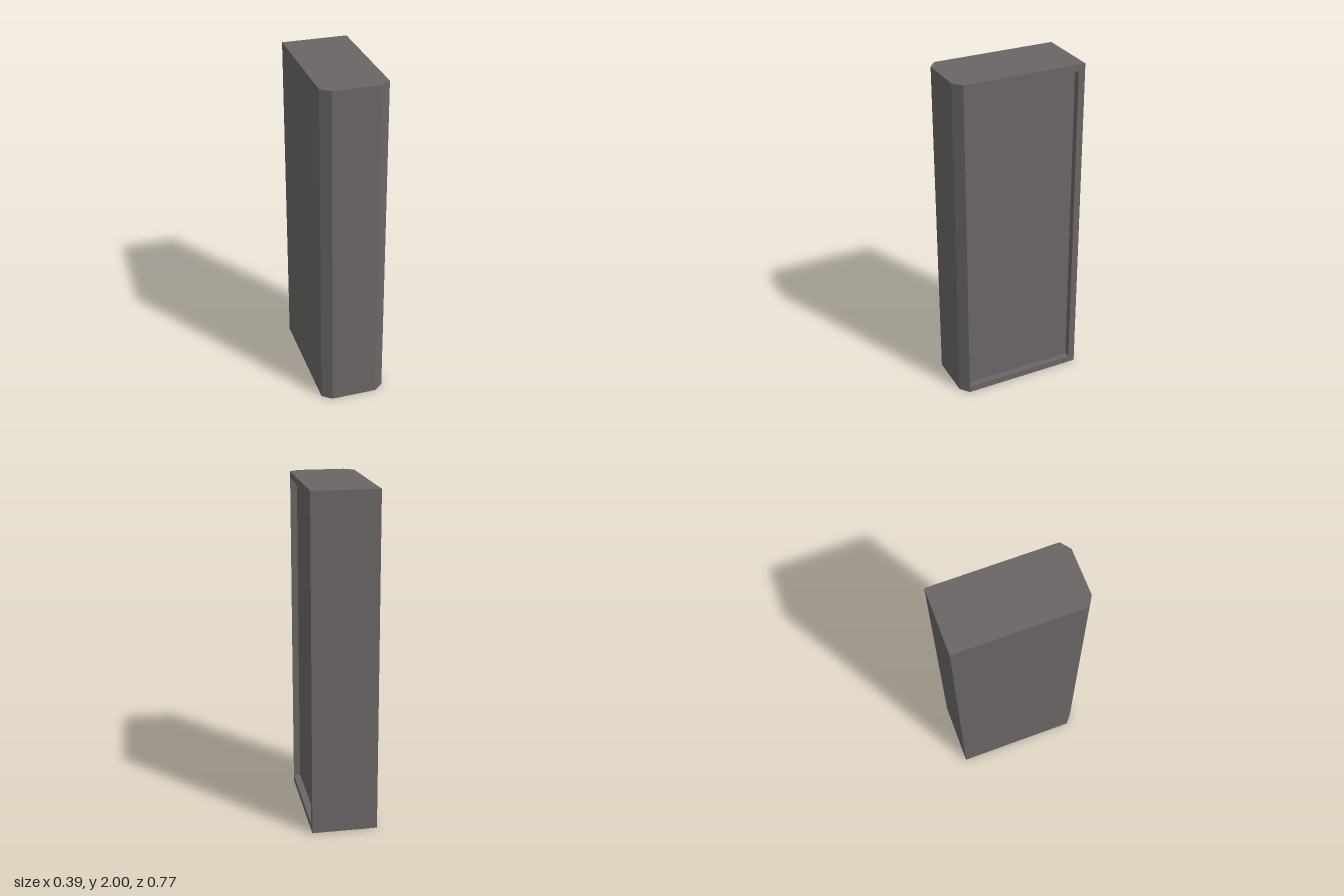
import * as THREE from 'three';

// Flat-faced geometry from convex polygons (corners counter-clockwise from outside)
function facesToGeometry(faces) {
  const pos = [];
  for (const f of faces)
    for (let i = 1; i < f.length - 1; i++) pos.push(...f[0], ...f[i], ...f[i + 1]);
  const g = new THREE.BufferGeometry();
  g.setAttribute('position', new THREE.Float32BufferAttribute(pos, 3));
  g.computeVertexNormals();
  return g;
}

export function createModel() {
  const group = new THREE.Group();
  group.name = 'cabinet';
  const material = new THREE.MeshStandardMaterial({ color: 0x6b6666, flatShading: true });
  const add = (name, faces) => {
    const mesh = new THREE.Mesh(facesToGeometry(faces), material);
    mesh.name = name;
    group.add(mesh);
  };

  const H = 2, W = 0.193, D = 0.387, chamferZ = 0.343, frontX = 0.137;
  const rim = 0.04, depth = 0.04;

  // Plan outline [x, z] with two chamfered front corners
  const plan = [[-frontX, D], [frontX, D], [W, chamferZ], [W, -D], [-W, -D], [-W, chamferZ]];
  const at = (y) => plan.map(([x, z]) => [x, y, z]);
  const low = at(0), high = at(H);

  // Shell: top, bottom and every wall but the recessed side
  const shell = [high, [...low].reverse()];
  plan.forEach((_, i) => {
    const j = (i + 1) % plan.length;
    if (i !== 2) shell.push([low[i], low[j], high[j], high[i]]);
  });
  add('shell', shell);

  // Recessed side: the recess reaches the chamfer edge at the front
  const outer = [[0, chamferZ], [0, -D], [H, -D], [H, chamferZ]];
  const inner = [[rim, chamferZ], [rim, rim - D], [H - rim, rim - D], [H - rim, chamferZ]];
  const onSide = (x) => ([y, z]) => [x, y, z];
  const O = outer.map(onSide(W)), I = inner.map(onSide(W)), P = inner.map(onSide(W - depth));
  const frame = [], walls = [];
  for (let i = 0; i < 4; i++) {
    const j = (i + 1) % 4;
    if (i < 3) frame.push([O[i], O[j], I[j], I[i]]);
    walls.push([I[i], I[j], P[j], P[i]]);
  }
  // Front wall of the recess also closes the ends of the frame
  add('sideFrame', frame);
  add('recessWalls', walls);
  add('recessPanel', [P]);

  return group;
}
